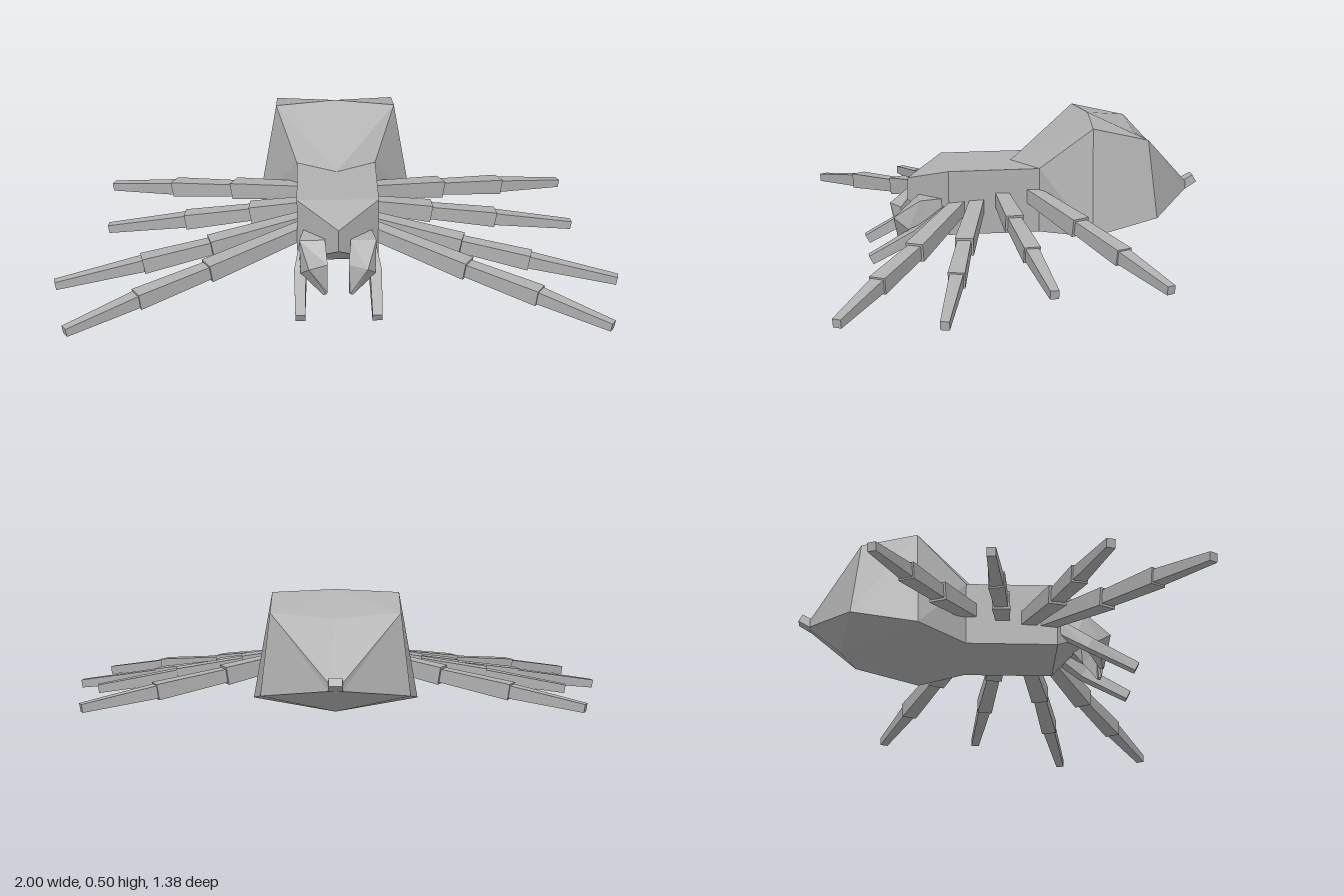
import * as THREE from 'three';

const V = (x, y, z) => new THREE.Vector3(x, y, z);

// Joins rings of points (clockwise seen along the path) into a faceted skin
function loft(rings, caps = true) {
  const pos = [];
  const tri = (a, b, c) => {
    const area = b.clone().sub(a).cross(c.clone().sub(a)).length();
    if (area > 1e-8) pos.push(...a.toArray(), ...b.toArray(), ...c.toArray());
  };
  const n = rings[0].length;
  for (let r = 0; r < rings.length - 1; r++) {
    const a = rings[r], b = rings[r + 1];
    for (let i = 0; i < n; i++) {
      const j = (i + 1) % n;
      if (i < n / 2) {
        tri(a[i], a[j], b[j]);
        tri(a[i], b[j], b[i]);
      } else {
        tri(a[i], a[j], b[i]);
        tri(a[j], b[j], b[i]);
      }
    }
  }
  if (caps) {
    const s = rings[0], e = rings[rings.length - 1];
    for (let k = 1; k < n - 1; k++) {
      tri(s[0], s[k + 1], s[k]);
      tri(e[0], e[k], e[k + 1]);
    }
  }
  const g = new THREE.BufferGeometry();
  g.setAttribute('position', new THREE.Float32BufferAttribute(pos, 3));
  g.computeVertexNormals();
  return g;
}

// Square bar along points, with a width and height at each point
function bar(points, widths, heights = widths) {
  const rings = points.map((p, i) => {
    const dir = points[Math.min(i + 1, points.length - 1)].clone()
      .sub(points[Math.max(i - 1, 0)]).normalize();
    const side = dir.clone().cross(V(0, 1, 0)).normalize();
    const up = side.clone().cross(dir);
    return [[1, 1], [1, -1], [-1, -1], [-1, 1]].map(([s, u]) => p.clone()
      .addScaledVector(side, s * widths[i] / 2)
      .addScaledVector(up, u * heights[i] / 2));
  });
  return loft(rings);
}

// Six-point symmetric body ring: top centre, upper corner, lower corner, bottom centre
function bodyRing([ty, tz], [ux, uy, uz], [lx, ly, lz], [by, bz]) {
  const c = 0.005;
  return [V(c, ty, tz), V(c + ux, uy, uz), V(c + lx, ly, lz),
    V(c, by, bz), V(c - lx, ly, lz), V(c - ux, uy, uz)];
}

export function createModel() {
  const model = new THREE.Group();
  const grey = new THREE.MeshStandardMaterial({ color: 0xb0b0b0, flatShading: true });
  grey.name = 'grey';
  const add = (name, geometry, parent = model) => {
    const mesh = new THREE.Mesh(geometry, grey);
    mesh.name = name;
    parent.add(mesh);
  };

  // Head and thorax, with a wedge nose
  const waist = bodyRing([0.335, 0], [0.145, 0.335, -0.085], [0.145, 0.1, -0.085], [0.1, -0.085]);
  add('thorax', loft([
    bodyRing([0.28, 0.38], [0, 0.28, 0.38], [0, 0.2, 0.38], [0.2, 0.38]),
    bodyRing([0.335, 0.243], [0.145, 0.335, 0.243], [0.145, 0.1, 0.243], [0.1, 0.243]),
    waist,
  ], false));

  // Large faceted abdomen tapering to the spinneret
  add('abdomen', loft([
    waist,
    bodyRing([0.505, -0.285], [0.222, 0.492, -0.265], [0.29, 0.115, -0.255], [0.085, -0.36]),
    bodyRing([0.425, -0.46], [0.222, 0.445, -0.465], [0.255, 0.165, -0.495], [0.12, -0.54]),
    bodyRing([0.235, -0.655], [0.022, 0.235, -0.655], [0.022, 0.21, -0.655], [0.21, -0.655]),
  ], false));
  add('spinneret', bar([V(0.005, 0.222, -0.645), V(0.005, 0.247, -0.688)], [0.05, 0.045], [0.032, 0.03]));

  // Leg pairs: joints from hip to tip as [x, y, z], with a sideways shift
  const pairs = [
    { name: 'frontLeg', shift: 0.002, joints: [[0.12, 0.2, 0.2], [0.455, 0.135, 0.39], [0.69, 0.1, 0.53], [0.92, 0.058, 0.67]] },
    { name: 'secondLeg', shift: 0, joints: [[0.12, 0.205, 0.135], [0.45, 0.145, 0.22], [0.69, 0.105, 0.272], [0.995, 0.06, 0.34]] },
    { name: 'thirdLeg', shift: 0.02, joints: [[0.12, 0.225, 0.05], [0.33, 0.19, 0.033], [0.57, 0.15, 0.007], [0.86, 0.105, -0.022]] },
    { name: 'backLeg', shift: 0.013, joints: [[0.12, 0.235, -0.06], [0.39, 0.185, -0.19], [0.625, 0.145, -0.295], [0.872, 0.105, -0.4]] },
  ];
  const taper = [[0.05, 0.064], [0.048, 0.057], [0.046, 0.03]];

  for (const side of [1, -1]) {
    const label = side > 0 ? 'left' : 'right';
    for (const { name, shift, joints } of pairs) {
      const leg = new THREE.Group();
      leg.name = `${label} ${name}`;
      const pts = joints.map(([x, y, z]) => V(side * x + shift, y, z));
      taper.forEach((w, i) => add(`legSegment${i + 1}`, bar([pts[i], pts[i + 1]], w), leg));
      model.add(leg);
    }

    // Feelers reaching forward and down to the ground
    const at = (x, y, z) => V(0.003 + side * x, y, z);
    add(`${label} feeler`, bar(
      [at(0.1, 0.19, 0.24), at(0.132, 0.105, 0.36), at(0.133, 0.017, 0.524)],
      [0.05, 0.042, 0.034], [0.05, 0.042, 0.034]));

    // Hooked fangs
    add(`${label} fang`, bar(
      [at(0.085, 0.205, 0.23), at(0.09, 0.19, 0.33), at(0.084, 0.14, 0.395), at(0.045, 0.05, 0.41)],
      [0.06, 0.09, 0.075, 0.012], [0.05, 0.08, 0.07, 0.012]));
  }
  return model;
}
